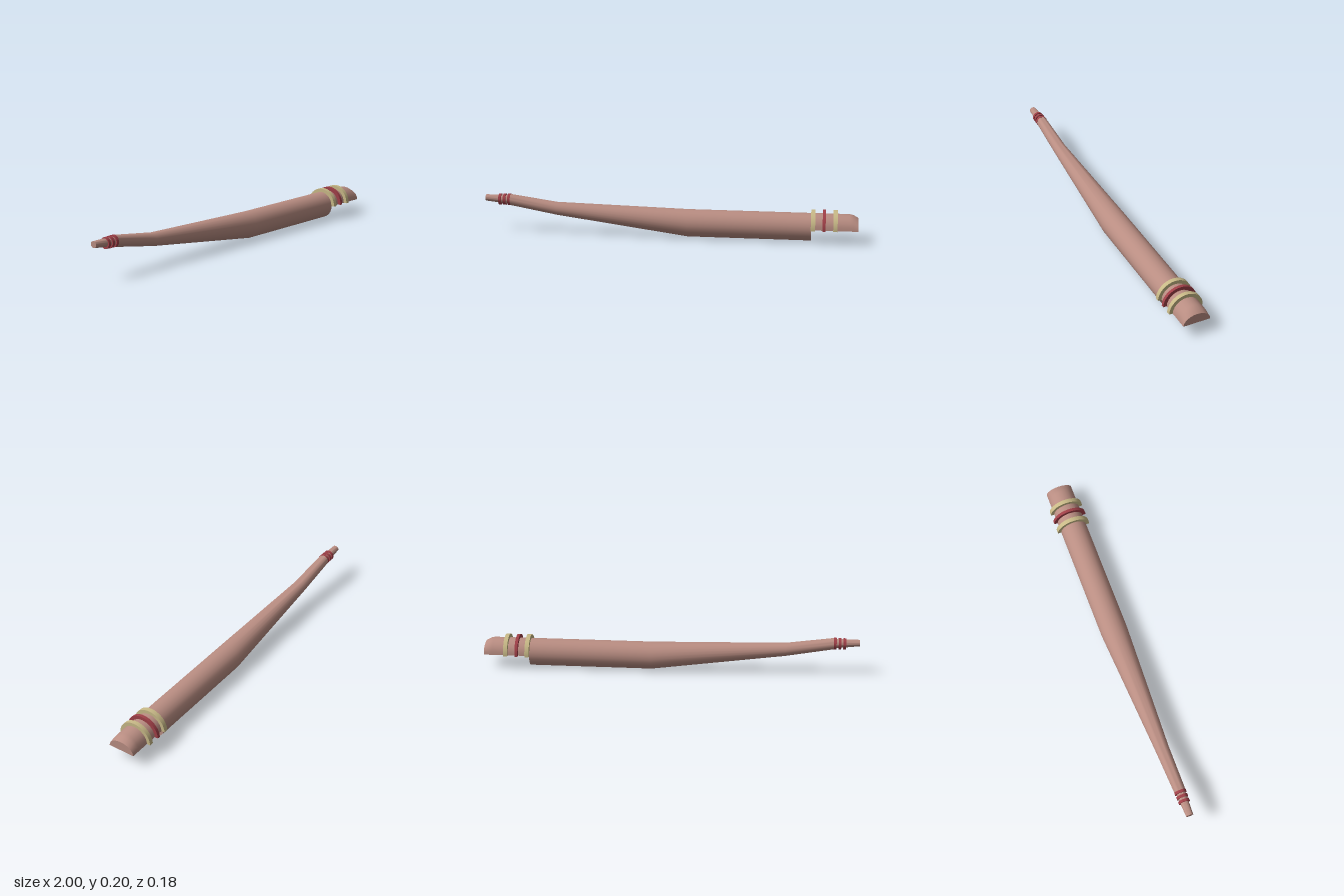
import * as THREE from 'three';
import { toCreasedNormals } from 'three/addons/utils/BufferGeometryUtils.js';

const SIDES = 24;
const wood = new THREE.MeshStandardMaterial({ color: 0xb98d82 });
const tan = new THREE.MeshStandardMaterial({ color: 0xc8b987 });
const red = new THREE.MeshStandardMaterial({ color: 0xa04048 });

// Closed spar along x from sections [x, centreY, radiusY, radiusZ]; half keeps only the upper part
function spar(sections, half = false) {
  const n = half ? SIDES / 2 + 1 : SIDES;
  const pos = [], idx = [];
  for (const [x, cy, ry, rz] of sections) {
    for (let j = 0; j < n; j++) {
      const a = (j / SIDES) * Math.PI * 2;
      pos.push(x, cy + ry * Math.sin(a), rz * Math.cos(a));
    }
  }
  const last = (sections.length - 1) * n;
  for (let i = 0; i < last; i += n) {
    for (let j = 0; j < n; j++) {
      const k = (j + 1) % n;
      idx.push(i + j, i + n + j, i + k, i + n + j, i + n + k, i + k);
    }
  }
  for (let j = 1; j < n - 1; j++) {
    idx.push(0, j, j + 1, last, last + j + 1, last + j);
  }
  const geo = new THREE.BufferGeometry();
  geo.setAttribute('position', new THREE.Float32BufferAttribute(pos, 3));
  geo.setIndex(idx);
  return toCreasedNormals(geo, 0.6);
}

// Half hoop over the upper side, from x0 to x1
function halfHoop(x0, x1, inner, outer) {
  const shape = new THREE.Shape();
  shape.absarc(0, 0, outer, 0, Math.PI, false);
  shape.absarc(0, 0, inner, Math.PI, 0, true);
  const geo = new THREE.ExtrudeGeometry(shape, { depth: x1 - x0, bevelEnabled: false, curveSegments: SIDES / 2 });
  geo.rotateY(Math.PI / 2);
  geo.translate(x0, 0.075, 0);
  return toCreasedNormals(geo, 0.6);
}

export function createModel() {
  const group = new THREE.Group();
  const add = (name, geo, mat) => {
    const mesh = new THREE.Mesh(geo, mat);
    mesh.name = name;
    group.add(mesh);
  };

  // Main shaft: straight butt, then tapering and rising toward the tip
  add('shaft', spar([
    [-0.87, 0.175, 0.03, 0.03],
    [-0.61, 0.133, 0.035, 0.037],
    [0.1, 0.0755, 0.073, 0.073],
    [0.755, 0.075, 0.073, 0.073],
  ]), wood);

  // Slim tip beyond the shoulder
  add('tip', spar([
    [-1, 0.182, 0.017, 0.019],
    [-0.865, 0.174, 0.025, 0.025],
  ]), wood);

  // Half-round tenon with a rounded-off end
  add('tenon', spar([
    [0.75, 0.075, 0.073, 0.073],
    [0.955, 0.075, 0.073, 0.073],
    [0.975, 0.075, 0.068, 0.073],
    [1, 0.075, 0.053, 0.073],
  ], true), wood);

  // Hoops over the tenon
  add('hoopInner', halfHoop(0.753, 0.776, 0.0725, 0.092), tan);
  add('hoopMiddle', halfHoop(0.814, 0.83, 0.0725, 0.092), red);
  add('hoopOuter', halfHoop(0.87, 0.892, 0.0725, 0.092), tan);

  // Bands around the tip
  [-0.921, -0.896, -0.871].forEach((x, i) => {
    const r = 0.0295 + i * 0.0008;
    add('tipBand' + (i + 1), spar([[x - 0.007, 0.175, r, r], [x + 0.007, 0.175, r, r]]), red);
  });

  return group;
}
